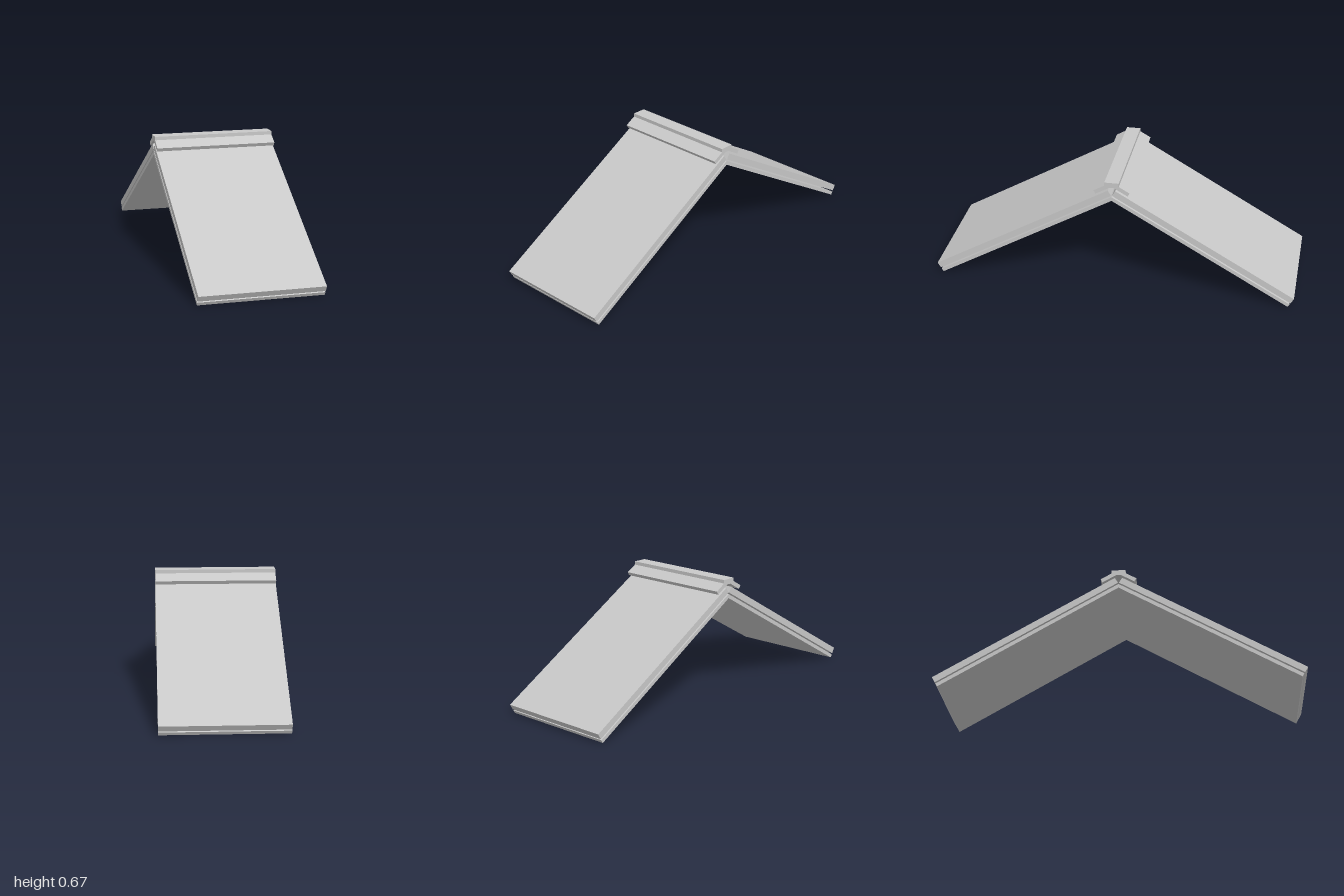
import * as THREE from 'three';

const WIDTH = 0.666;
const SLOPE = Math.tan(Math.PI / 6);

// Extrude a [z, y] profile along x, centred
function profileMesh(points, material, name) {
  const shape = new THREE.Shape(points.map(([z, y]) => new THREE.Vector2(-z, y)));
  const geometry = new THREE.ExtrudeGeometry(shape, { depth: WIDTH, bevelEnabled: false });
  geometry.translate(0, 0, -WIDTH / 2);
  geometry.rotateY(Math.PI / 2);
  const mesh = new THREE.Mesh(geometry, material);
  mesh.name = name;
  return mesh;
}

// Point on the eave edge, which is cut square to the slope
const eave = (y) => [1 - (0.054 - y) * SLOPE, y];
// Height at z on the sloped line that starts at the eave height y
const rise = (y, z) => y + (eave(y)[0] - z) * SLOPE;

export function createModel() {
  const group = new THREE.Group();
  group.name = 'ridgedRoof';
  const grey = new THREE.MeshStandardMaterial({ color: 0xc8c8c8 });
  grey.name = 'light grey';

  for (const [side, angle] of [['front', 0], ['back', Math.PI]]) {
    const half = new THREE.Group();
    half.name = side + 'Slope';
    // Thick outer panel, square cut at the ridge
    half.add(profileMesh([
      eave(0.054), [0.02, rise(0.054, 0.02)], [0.0027, rise(0.024, 0.0027)], eave(0.024),
    ], grey, side + 'OuterPanel'));
    // Thin inner panel, meeting its twin at the ridge
    half.add(profileMesh([
      eave(0.017), [0, rise(0.017, 0)], [0, rise(0, 0)], eave(0),
    ], grey, side + 'InnerPanel'));
    half.rotation.y = angle;
    group.add(half);
  }

  // Ridge cap: raised flat top with a sloped wing on each side
  const capHalf = [[0.039, 0.667], [0.039, 0.648], [0.098, 0.614], [0.087, 0.595], [0.012, 0.638]];
  const mirrored = capHalf.map(([z, y]) => [-z, y]).reverse();
  group.add(profileMesh([...capHalf, ...mirrored], grey, 'ridgeCap'));

  return group;
}
